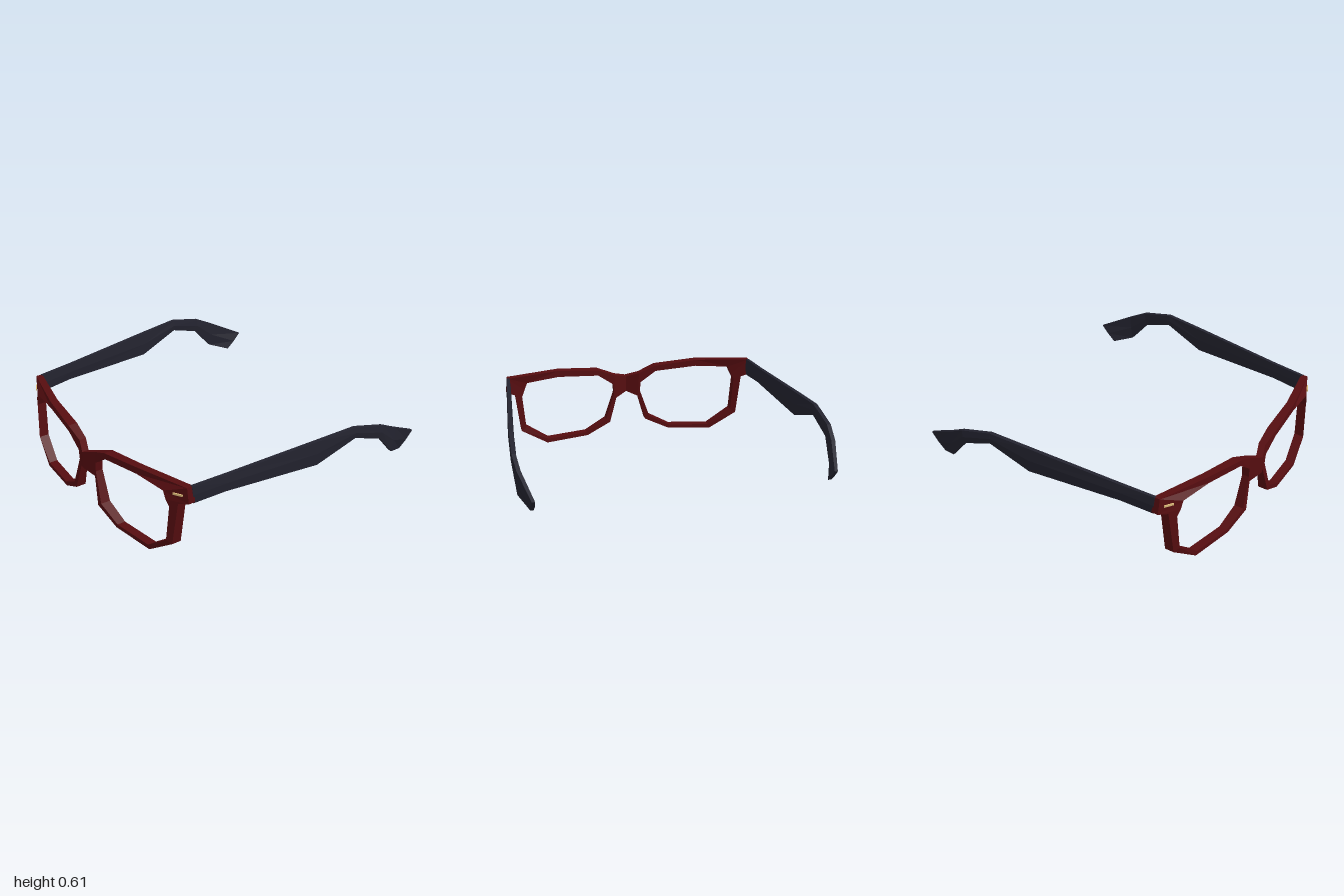
import * as THREE from 'three';

const material = (name, color) => {
  const m = new THREE.MeshStandardMaterial({ color });
  m.name = name;
  return m;
};

// Piecewise linear lookup in [[x, value], ...]
function lookup(table, x) {
  for (let i = 1; i < table.length; i++) {
    const [x0, v0] = table[i - 1], [x1, v1] = table[i];
    if (x <= x1) return v0 + (v1 - v0) * (x - x0) / (x1 - x0);
  }
  return table[table.length - 1][1];
}

// Bent front and back faces of the frame, by distance from the middle
const frontZ = x => lookup([[0, 0.95], [0.085, 0.912], [0.13, 0.93], [0.75, 0.845], [0.88, 0.772]], Math.abs(x));
const backZ = x => lookup([[0, 0.905], [0.085, 0.868], [0.45, 0.838], [0.75, 0.778], [0.88, 0.728]], Math.abs(x));

// Faceted skin over a row of rings; either joined into a loop or capped
function loft(rings, loop, side = 1) {
  const tris = [], n = rings[0].length;
  const count = loop ? rings.length : rings.length - 1;
  for (let i = 0; i < count; i++) {
    const a = rings[i], b = rings[(i + 1) % rings.length];
    for (let j = 0; j < n; j++) {
      const k = (j + 1) % n;
      tris.push([a[j], b[j], b[k]], [a[j], b[k], a[k]]);
    }
  }
  if (!loop) {
    const first = rings[0], last = rings[rings.length - 1];
    for (let j = 1; j < n - 1; j++) {
      tris.push([first[0], first[j], first[j + 1]], [last[0], last[j + 1], last[j]]);
    }
  }
  // Mirror, then turn all faces outward according to the enclosed volume
  const faces = tris.map(t => t.map(p => new THREE.Vector3(p[0] * side, p[1], p[2])));
  const volume = faces.reduce((s, [a, b, c]) => s + a.dot(b.clone().cross(c)), 0);
  const points = faces.flatMap(([a, b, c]) => volume < 0 ? [a, c, b] : [a, b, c]);
  const geometry = new THREE.BufferGeometry().setFromPoints(points);
  geometry.computeVertexNormals();
  return geometry;
}

// Rim stations: outer x, y and inner x, y
const RIM = [
  [0.09, 0.455, 0.10, 0.385], [0.21, 0.505, 0.21, 0.465], [0.50, 0.535, 0.50, 0.49],
  [0.87, 0.54, 0.73, 0.48], [0.88, 0.435, 0.75, 0.43], [0.82, 0.42, 0.77, 0.385],
  [0.785, 0.13, 0.75, 0.15], [0.60, 0.006, 0.59, 0.034], [0.30, 0.018, 0.31, 0.042],
  [0.13, 0.10, 0.16, 0.122], [0.08, 0.28, 0.095, 0.32],
];

// Temple stations: x, half width, top z, top y, bottom z, bottom y
const TEMPLE = [
  [0.863, 0.014, 0.745, 0.54, 0.735, 0.425], [0.885, 0.016, 0.50, 0.55, 0.52, 0.44],
  [0.945, 0.018, -0.12, 0.587, -0.12, 0.425], [0.970, 0.018, -0.40, 0.603, -0.40, 0.53],
  [0.982, 0.018, -0.62, 0.55, -0.60, 0.465], [0.970, 0.018, -0.74, 0.49, -0.72, 0.328],
  [0.915, 0.014, -0.955, 0.38, -0.85, 0.28],
];

export function createModel() {
  const red = material('dark red', 0x560d10);
  const navy = material('dark navy', 0x23232f);
  const gold = material('pale gold', 0xd9b878);

  const model = new THREE.Group();
  model.name = 'glasses';
  const body = new THREE.Group();
  body.name = 'glassesBody';
  body.rotation.set(0, 0.01, -0.0085); // sits slightly askew
  model.add(body);

  const add = (name, geometry, mat) => {
    const mesh = new THREE.Mesh(geometry, mat);
    mesh.name = name;
    body.add(mesh);
    return mesh;
  };

  // Nose bridge between the rims
  const bridge = [[-0.09, 0.455, -0.08, 0.28], [0, 0.425, 0, 0.313], [0.09, 0.455, 0.08, 0.28]];
  add('bridge', loft(bridge.map(([tx, ty, bx, by]) => [
    [tx, ty, frontZ(tx)], [tx, ty, backZ(tx)], [bx, by, backZ(bx)], [bx, by, frontZ(bx)],
  ]), false), red);

  for (const [side, label] of [[1, 'left'], [-1, 'right']]) {
    // Rim with its widened hinge corner
    add(label + 'Rim', loft(RIM.map(([ox, oy, ix, iy]) => [
      [ox, oy, frontZ(ox)], [ox, oy, backZ(ox)], [ix, iy, backZ(ix)], [ix, iy, frontZ(ix)],
    ]), true, side), red);

    // Temple arm with a slightly rounded section and a drooping tip
    add(label + 'Temple', loft(TEMPLE.map(([x, w, tz, ty, bz, by]) => {
      const my = (ty + by) / 2, mz = (tz + bz) / 2;
      return [
        [x + w * 0.7, ty, tz], [x + w, my, mz], [x + w * 0.7, by, bz],
        [x - w * 0.7, by, bz], [x - w, my, mz], [x - w * 0.7, ty, tz],
      ];
    }), false, side), navy);

    // Small metal inlay on the front corner
    const inlay = add(label + 'Inlay', new THREE.BoxGeometry(0.062, 0.012, 0.008), gold);
    inlay.position.set(side * 0.82, 0.483, frontZ(0.82) + 0.002);
    inlay.rotation.y = side * 0.51;
  }
  return model;
}
